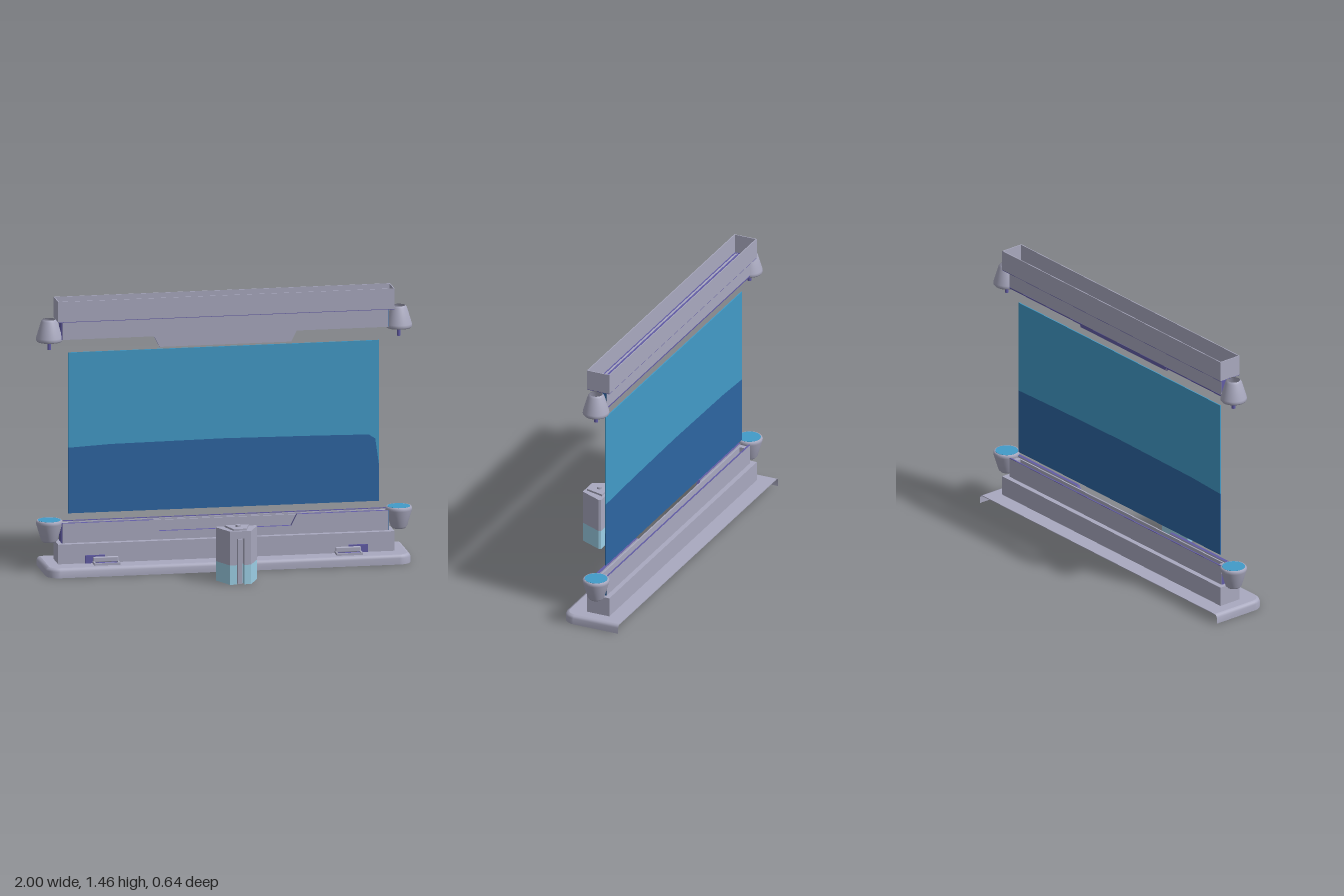
import * as THREE from 'three';
import { RoundedBoxGeometry } from 'three/addons/geometries/RoundedBoxGeometry.js';

const paint = (name, color) => Object.assign(new THREE.MeshStandardMaterial({ color, side: THREE.DoubleSide }), { name });

export function createModel() {
  const grey = paint('casing grey', 0xa9a9bf);
  const purple = paint('inner purple', 0x625ca6);
  const blue = paint('screen blue', 0x429bc8);
  const navy = paint('screen navy', 0x2d66a2);
  const pale = paint('pale cyan', 0x9fd3ea);

  const model = new THREE.Group();
  const add = (name, geometry, material, x = 0, y = 0, z = 0, parent = model) => {
    const mesh = new THREE.Mesh(geometry, material);
    mesh.name = name;
    mesh.position.set(x, y, z);
    parent.add(mesh);
    return mesh;
  };
  // box given by its limits
  const block = (name, mat, x0, x1, y0, y1, z0, z1, parent) =>
    add(name, new THREE.BoxGeometry(x1 - x0, y1 - y0, z1 - z0), mat,
      (x0 + x1) / 2, (y0 + y1) / 2, (z0 + z1) / 2, parent);
  const poly = (pts) => new THREE.Shape(pts.map(([x, y]) => new THREE.Vector2(x, y)));
  const extrude = (shape, depth) => new THREE.ExtrudeGeometry(shape, { depth, bevelEnabled: false });
  // plan shapes use (x, -z) and grow upwards
  const slab = (shape, height) => extrude(shape, height).rotateX(-Math.PI / 2);
  const rect = (x0, x1, z0, z1) => poly([[x0, -z1], [x1, -z1], [x1, -z0], [x0, -z0]]);
  const ring = (hx, z0, z1, t, height) => {
    const shape = rect(-hx, hx, z0, z1);
    shape.holes.push(rect(-hx + t, hx - t, z0 + t, z1 - t));
    return slab(shape, height);
  };

  // Base: thin shell, open below and behind, with rounded front corners
  const back = -0.322, front = 0.006, half = 0.97, corner = 0.068;
  const outline = (inset) => {
    const pts = [[-half + inset, back]], r = corner - inset, cz = front - corner, cx = half - corner;
    for (const [sx, from] of [[-1, Math.PI], [1, Math.PI / 2]])
      for (let i = 0; i <= 8; i++) {
        const a = from - (i / 8) * Math.PI / 2;
        pts.push([sx * cx + r * Math.cos(a), cz + r * Math.sin(a)]);
      }
    pts.push([half - inset, back]);
    return pts;
  };
  const profile = [[0, 0], [0, 0.033], [0.006, 0.045], [0.018, 0.05]];
  const pos = [], index = [];
  profile.forEach(([inset, y], k) => {
    const loop = outline(inset), n = loop.length;
    loop.forEach(([x, z], i) => {
      pos.push(x, y, z);
      if (k && i) {
        const d = k * n + i, c = d - 1, b = d - n, a = b - 1;
        index.push(a, b, d, a, d, c);
      }
    });
  });
  const skirt = new THREE.BufferGeometry();
  skirt.setAttribute('position', new THREE.Float32BufferAttribute(pos, 3));
  skirt.setIndex(index);
  skirt.computeVertexNormals();
  add('baseSkirt', skirt, grey);
  const top = poly(outline(0.018).map(([x, z]) => [x, -z]));
  top.holes.push(rect(-0.885, 0.885, -0.226, -0.112));
  for (const s of [-1, 1]) top.holes.push(rect(s * 0.645 - 0.06, s * 0.645 + 0.06, -0.1, -0.05));
  add('baseTop', slab(top, 0.004), grey, 0, 0.046);

  // Wide box of the lower rail, lined in purple and open below
  add('lowerRailBox', ring(0.895, -0.235, -0.105, 0.006, 0.105), grey, 0, 0.05);
  block('lowerRailLid', grey, -0.895, 0.895, 0.15, 0.155, -0.235, -0.105);
  block('lowerRailCeiling', purple, -0.888, 0.888, 0.145, 0.149, -0.228, -0.112);
  add('lowerRailLining', ring(0.888, -0.228, -0.112, 0.003, 0.098), purple, 0, 0.047);

  // Wide box of the upper rail, open above, with a purple-edged shelf
  add('upperRailBox', ring(0.895, -0.235, -0.105, 0.005, 0.109), grey, 0, 1.347);
  add('upperRailShelf', ring(0.893, -0.233, -0.107, 0.028, 0.006), grey, 0, 1.346);
  add('shelfOuterEdge', ring(0.89, -0.23, -0.11, 0.006, 0.002), purple, 0, 1.352);
  add('shelfInnerEdge', ring(0.874, -0.214, -0.13, 0.009, 0.003), purple, 0, 1.352);
  add('upperRailSeam', ring(0.894, -0.234, -0.106, 0.006, 0.003), purple, 0, 1.344);

  // Narrow section of a rail: front plate with a tab or notch, back wall, ends
  const X = 0.868;
  const narrow = (name, y0, y1, dip) => {
    const g = new THREE.Group();
    g.name = name;
    model.add(g);
    const shape = dip < y0
      ? poly([[-X, y0], [-0.38, y0], [-0.35, dip], [0.35, dip], [0.38, y0], [X, y0], [X, y1], [-X, y1]])
      : poly([[-X, y0], [X, y0], [X, y1], [0.38, y1], [0.35, dip], [-0.35, dip], [-0.38, y1], [-X, y1]]);
    add('frontPlate', extrude(shape, 0.018), [grey, purple], 0, 0, -0.153, g);
    block('backWall', grey, -X, X, y0, y1, -0.208, -0.202, g);
    block('leftEnd', navy, X - 0.003, X + 0.003, y0, y1, -0.206, -0.137, g);
    block('rightEnd', purple, -X - 0.003, -X + 0.003, y0, y1, -0.206, -0.137, g);
    return g;
  };
  const upper = narrow('upperRailNarrow', 1.245, 1.346, 1.187);
  add('tabBack', extrude(poly([[-0.375, 1.245], [-0.345, 1.191], [0.345, 1.191], [0.375, 1.245]]), 0.003),
    purple, 0, 0, -0.157, upper);
  block('frontLining', purple, -X, X, 1.246, 1.344, -0.157, -0.154, upper);
  block('rearRim', purple, -X, X, 1.242, 1.249, -0.209, -0.2, upper);

  // Lower narrow section holds a deep slot with a blue floor
  const lower = narrow('lowerRailNarrow', 0.155, 0.26, 0.2);
  block('slotFront', grey, -X + 0.01, X - 0.01, 0.155, 0.255, -0.165, -0.157, lower);
  block('slotRear', grey, -X + 0.01, X - 0.01, 0.155, 0.255, -0.2, -0.194, lower);
  block('slotFloor', blue, -0.83, 0.83, 0.156, 0.162, -0.194, -0.165, lower);
  for (const s of [-1, 1])
    block('slotStop', grey, s * 0.844 - 0.014, s * 0.844 + 0.014, 0.155, 0.255, -0.194, -0.165, lower);
  block('rearRim', purple, -X, X, 0.259, 0.262, -0.208, -0.2, lower);

  // Cups at the rail ends: upright below, inverted and open-topped above
  const cup = [[0, 0], [0.034, 0], [0.043, 0.01], [0.058, 0.06], [0.069, 0.097], [0.07, 0.11], [0.064, 0.118], [0.058, 0.116]]
    .map(([r, y]) => new THREE.Vector2(r, y));
  const lowerCup = new THREE.LatheGeometry(cup, 32);
  const upperCup = new THREE.LatheGeometry(cup.slice(1), 32);
  const disc = new THREE.CylinderGeometry(0.06, 0.06, 0.006, 32);
  for (const s of [-1, 1]) {
    const x = s * 0.93, z = -0.175;
    add('lowerCup', lowerCup, grey, x, 0.157, z);
    add('lowerCupDisc', disc, blue, x, 0.272, z);
    add('upperCup', upperCup, grey, x, 1.35, z).rotation.x = Math.PI;
    add('upperCupDisc', disc, blue, x, 1.237, z);
    add('pin', new THREE.CylinderGeometry(0.01, 0.01, 0.05, 12), purple, x, 1.212, z);

    // Latch on the base: grey rim around a purple floor, purple pocket, rounded face
    add('latchRim', ring(0.069, -0.104, -0.037, 0.009, 0.012), grey, s * 0.645, 0.05);
    block('latchFloor', purple, s * 0.645 - 0.061, s * 0.645 + 0.061, 0.05, 0.056, -0.1, -0.045);
    block('latchPocket', purple, s * 0.7 - 0.052, s * 0.7 + 0.052, 0.051, 0.093, -0.104, -0.096);
    add('latchFace', new RoundedBoxGeometry(0.135, 0.03, 0.014, 3, 0.006), grey, s * 0.645, 0.07, -0.094);
  }

  // Screen in two colours: the boundary curls down at one end of the front only
  const straight = [[-0.828, 0.657], [-0.6, 0.668], [0, 0.674], [0.5, 0.668]];
  const faces = [
    ['screenFront', -0.179, [...straight, [0.77, 0.663], [0.805, 0.64], [0.826, 0.49]]],
    ['screenBack', -0.182, [...straight, [0.826, 0.66]]],
  ];
  for (const [name, z, edge] of faces) {
    add(name + 'Upper', extrude(poly([...edge, [0.826, 1.167], [-0.828, 1.167]]), 0.003), blue, 0, 0, z);
    add(name + 'Lower', extrude(poly([[-0.828, 0.305], [0.826, 0.305], ...[...edge].reverse()]), 0.003), navy, 0, 0, z);
  }

  // Freestanding wedge post: slotted front, hollow pale foot
  const post = new THREE.Group();
  post.name = 'post';
  post.position.x = -0.004;
  model.add(post);
  const wedge = [[0.056, -0.322], [0.11, -0.205], [0.105, -0.192], [-0.105, -0.192], [-0.11, -0.205], [-0.056, -0.322]];
  const slotted = () => poly([...wedge, [-0.02, -0.322], [-0.02, -0.285], [0.02, -0.285], [0.02, -0.322]]);
  const hollow = slotted();
  hollow.holes.push(poly([[-0.066, -0.28], [0.066, -0.28], [0.099, -0.2], [-0.099, -0.2]]));
  add('postFoot', slab(hollow, 0.1), pale, 0, 0, 0, post);
  add('postFootCeiling', slab(slotted(), 0.004), pale, 0, 0.1, 0, post);
  add('postBody', slab(slotted(), 0.141), grey, 0, 0.104, 0, post);
  add('postHead', slab(poly(wedge), 0.04), grey, 0, 0.245, 0, post);
  block('postSlotBar', grey, -0.011, 0.011, 0, 0.238, 0.28, 0.312, post);
  add('postLid', slab(poly([[0.035, -0.308], [0.064, -0.207], [-0.064, -0.207], [-0.035, -0.308]]), 0.01), grey, 0, 0.285, 0, post);
  add('postKnob', new THREE.CylinderGeometry(0.014, 0.014, 0.012, 16), grey, 0, 0.299, 0.252, post);

  return model;
}
